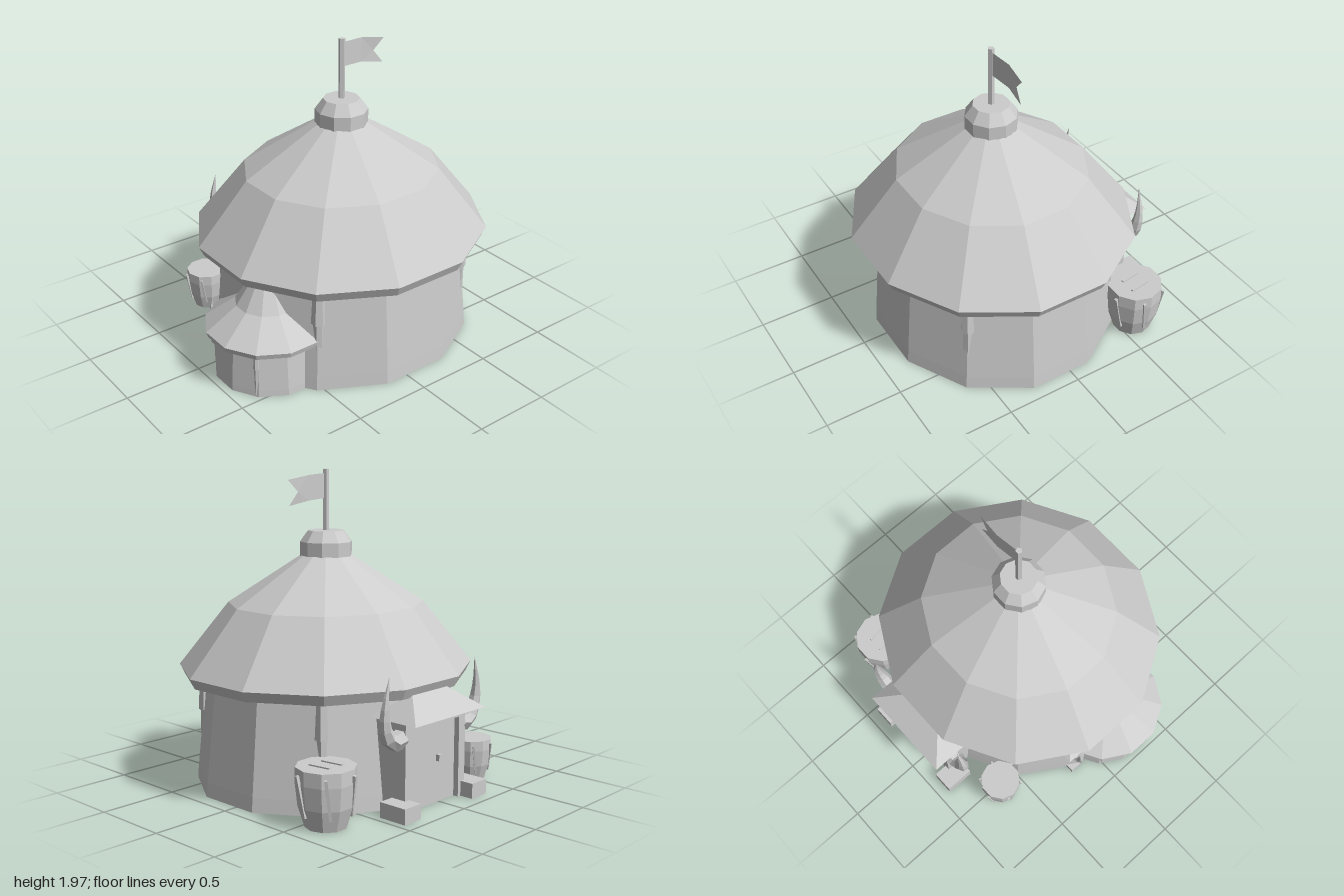
import * as THREE from 'three';

const clay = new THREE.MeshStandardMaterial({ color: 0xcccccc, flatShading: true, side: THREE.DoubleSide });
clay.name = 'pale grey';

function add(parent, name, geometry, x = 0, y = 0, z = 0) {
  const flat = geometry.index ? geometry.toNonIndexed() : geometry;
  flat.computeVertexNormals();
  const mesh = new THREE.Mesh(flat, clay);
  mesh.name = name;
  mesh.position.set(x, y, z);
  parent.add(mesh);
  return mesh;
}

function group(parent, name, x = 0, y = 0, z = 0) {
  const g = new THREE.Group();
  g.name = name;
  g.position.set(x, y, z);
  parent.add(g);
  return g;
}

// Faceted turned shape with a flat side facing the front
function turned(points, sides = 12) {
  return new THREE.LatheGeometry(points.map(([r, y]) => new THREE.Vector2(r, y)), sides, Math.PI / sides);
}

// Curved horn: a tube whose rings shrink toward the tip
function horn(side) {
  const curve = new THREE.CatmullRomCurve3([
    [0.27, 0.46, 0], [0.35, 0.45, 0], [0.41, 0.53, -0.005], [0.425, 0.67, -0.015], [0.395, 0.85, -0.02],
  ].map(([x, y, z]) => new THREE.Vector3(x * side, y, z)));
  const rings = 8, sides = 6;
  const geo = new THREE.TubeGeometry(curve, rings, 0.06, sides);
  const pos = geo.attributes.position, p = new THREE.Vector3();
  for (let i = 0; i <= rings; i++) {
    const centre = curve.getPointAt(i / rings);
    for (let j = 0; j <= sides; j++) {
      const k = i * (sides + 1) + j;
      p.fromBufferAttribute(pos, k).lerp(centre, Math.pow(i / rings, 1.2));
      pos.setXYZ(k, p.x, p.y, p.z);
    }
  }
  return geo;
}

// Hipped canopy: a box whose top is pinched to a short ridge
function canopy() {
  const geo = new THREE.BoxGeometry(0.655, 0.135, 0.355);
  const pos = geo.attributes.position;
  for (let i = 0; i < pos.count; i++) {
    if (pos.getY(i) > 0) {
      pos.setX(i, pos.getX(i) * 0.47);
      pos.setZ(i, pos.getZ(i) * 0.03);
    }
  }
  return geo;
}

// Doorway on the back, measured from the hut's centre
function porch(parent) {
  const g = group(parent, 'porch');
  add(g, 'canopy', canopy(), 0, 0.6325, -0.84);
  add(g, 'lintel', new THREE.BoxGeometry(0.56, 0.06, 0.25), 0, 0.535, -0.78);
  add(g, 'door', new THREE.BoxGeometry(0.46, 0.52, 0.2), 0, 0.26, -0.77);
  add(g, 'doorHandle', new THREE.BoxGeometry(0.03, 0.04, 0.03), -0.06, 0.28, -0.88);
  for (const s of [-1, 1]) {
    add(g, 'doorPost', new THREE.BoxGeometry(0.06, 0.56, 0.25), s * 0.25, 0.28, -0.78);
    add(g, 'footBlock', new THREE.BoxGeometry(0.14, 0.095, 0.19), s * 0.315, 0.0475, -0.9);
    add(g, 'horn', horn(s), 0, 0, -0.86);
  }
}

// Upright posts that emerge from the sloping wall below the eave
function posts(parent) {
  for (const sx of [-1, 1]) for (const sz of [-1, 1]) {
    const g = group(parent, 'wallPost', sx * 0.57, 0, sz * 0.522);
    add(g, 'shaft', new THREE.CylinderGeometry(0.034, 0.034, 0.68, 6), 0, 0.34, 0);
    add(g, 'sleeve', new THREE.CylinderGeometry(0.034, 0.046, 0.24, 6), 0, 0.57, 0);
  }
}

// Tub with slanted strips around its side
function barrel(parent, x, z, scale, topBars) {
  const g = group(parent, 'barrel', x, 0, z);
  g.scale.setScalar(scale);
  add(g, 'tub', turned([[0, 0], [0.125, 0], [0.165, 0.13], [0.18, 0.27], [0.178, 0.355], [0, 0.355]], 10));
  for (let i = 0; i < 6; i++) {
    const spin = group(g, 'strip');
    spin.rotation.y = (i + 0.3) * Math.PI / 3;
    const bar = add(spin, 'sideStrip', new THREE.BoxGeometry(0.018, 0.25, 0.018), 0, 0.2, 0.168);
    bar.rotation.set(0.14, 0, 0.12);
  }
  if (topBars) for (const s of [-1, 1]) {
    add(g, 'topBar', new THREE.BoxGeometry(0.02, 0.012, 0.14), s * 0.05, 0.357, 0).rotation.y = 0.15;
  }
}

export function createModel() {
  const model = new THREE.Group();
  model.name = 'hut';

  // Main hut, slightly shallower than wide
  const main = group(model, 'mainHut', 0.072, 0, 0.067);
  add(main, 'wall', turned([[0.868, 0], [0.86, 0.09], [0.797, 0.68]])).scale.z = 0.917;
  add(main, 'roof', turned([[0, 0.68], [0.925, 0.68], [0.957, 0.745], [0.635, 1.14], [0.165, 1.435]])).scale.z = 0.947;
  add(main, 'roofCollar', turned([[0.165, 1.425], [0.166, 1.52], [0.115, 1.59], [0, 1.59]], 10));
  add(main, 'flagPole', new THREE.CylinderGeometry(0.021, 0.021, 0.39, 5), 0, 1.775, 0);
  posts(main);
  porch(main);

  // Swallow-tailed flag with a gentle wave
  const cloth = new THREE.Shape([[0, 1.79], [0.15, 1.782], [0.305, 1.755], [0.24, 1.838], [0.312, 1.913], [0.15, 1.938], [0, 1.945]]
    .map(([x, y]) => new THREE.Vector2(x, y)));
  const flagGeo = new THREE.ShapeGeometry(cloth);
  const fp = flagGeo.attributes.position;
  for (let i = 0; i < fp.count; i++) fp.setZ(i, -0.018 * Math.sin(fp.getX(i) * 10));
  add(main, 'flag', flagGeo, 0.015, 0, 0);

  // Small side hut with a bell-shaped roof
  const side = group(model, 'sideHut', -0.613, 0, 0.225);
  add(side, 'sideWall', turned([[0.35, 0], [0.348, 0.04], [0.328, 0.3]]));
  add(side, 'sideRoof', turned([[0, 0.3], [0.39, 0.3], [0.4, 0.335], [0.205, 0.48], [0.085, 0.66], [0.05, 0.72], [0, 0.72]]));
  const fittings = group(side, 'sideFittings');
  fittings.scale.setScalar(0.43);
  posts(fittings);
  porch(fittings);

  barrel(model, 0.76, -0.6, 1, true);
  barrel(model, -0.53, -0.645, 0.74, false);
  return model;
}
